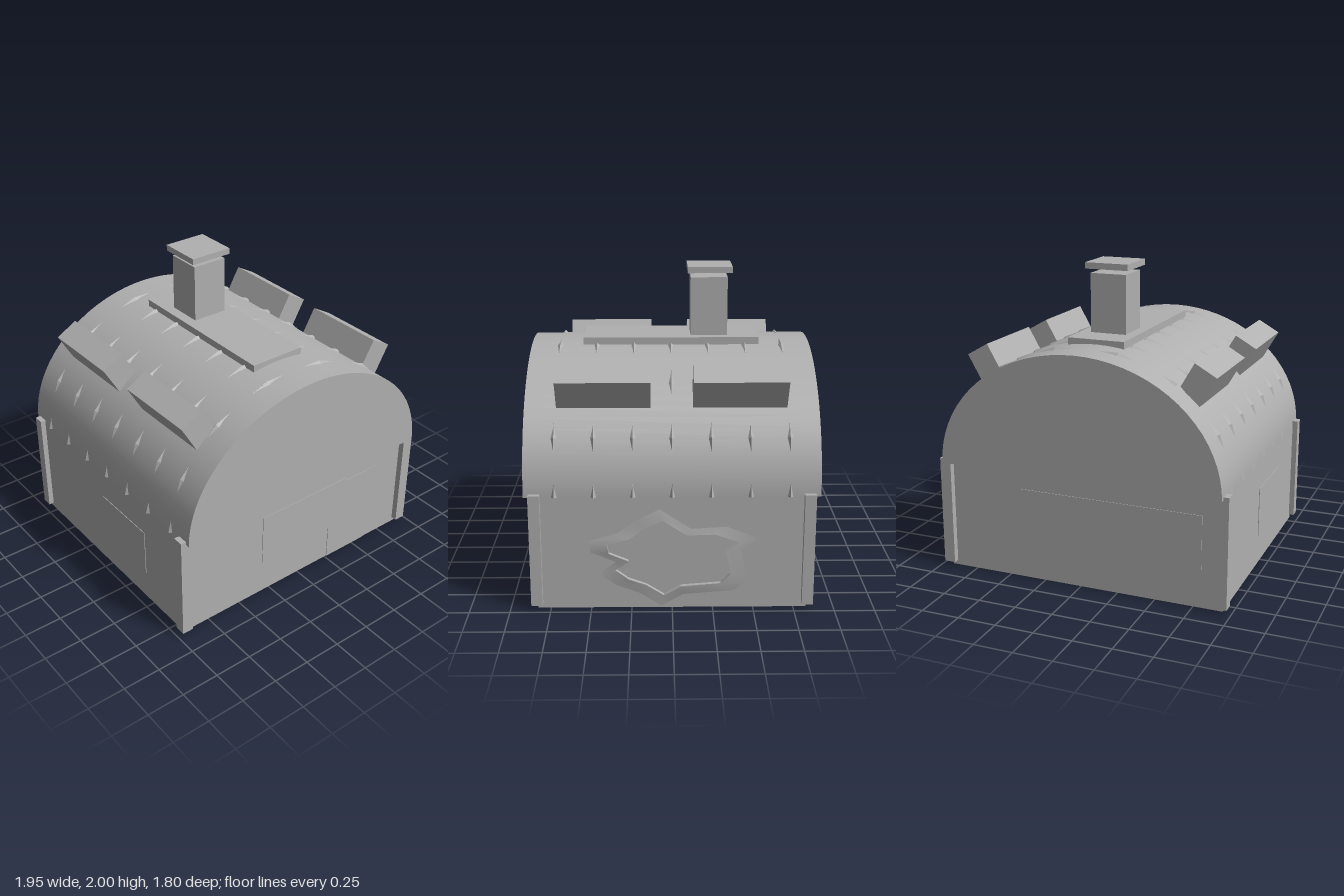
import * as THREE from 'three';

const EAVE = 0.73, HALF_W = 0.94, RISE = 0.79;

export function createModel() {
  const model = new THREE.Group();
  const grey = new THREE.MeshStandardMaterial({ color: 0xb0b0b0, side: THREE.DoubleSide });
  grey.name = 'plainGrey';

  const add = (name, geometry) => {
    const mesh = new THREE.Mesh(geometry, grey);
    mesh.name = name;
    model.add(mesh);
    return mesh;
  };
  // Box given by its lower and upper limits on each axis
  const box = (name, x0, x1, y0, y1, z0, z1) => {
    const mesh = add(name, new THREE.BoxGeometry(x1 - x0, y1 - y0, z1 - z0));
    mesh.position.set((x0 + x1) / 2, (y0 + y1) / 2, (z0 + z1) / 2);
    return mesh;
  };
  const polygon = (pts) => new THREE.Shape(pts.map(([x, y]) => new THREE.Vector2(x, y)));

  // Main block; its right face lies behind the broken side wall
  box('body', -0.94, 0.91, 0, EAVE, -0.83, 0.83);

  // Corner posts
  for (const sx of [-1, 1]) for (const sz of [-1, 1]) {
    const post = box('cornerPost', 0.9, 0.975, 0.03, 0.75, 0.8, 0.87);
    post.position.x *= sx;
    post.position.z *= sz;
  }

  // Side wall with a ragged hole, drawn as (-z, y)
  const hole = [
    [-0.4, 0.42], [-0.26, 0.46], [-0.18, 0.52], [-0.06, 0.58], [0.03, 0.52], [0.09, 0.48],
    [0.26, 0.49], [0.42, 0.43], [0.33, 0.37], [0.36, 0.22], [0.3, 0.16], [0.05, 0.14],
    [-0.05, 0.08], [-0.16, 0.15], [-0.27, 0.19], [-0.35, 0.25], [-0.27, 0.31], [-0.39, 0.36],
  ];
  const wall = polygon([[-0.83, 0], [0.83, 0], [0.83, EAVE], [-0.83, EAVE]]);
  wall.holes.push(polygon(hole));
  const wallGeo = new THREE.ExtrudeGeometry(wall, { depth: 0.026, bevelEnabled: false });
  wallGeo.rotateY(Math.PI / 2);
  add('brokenSideWall', wallGeo).position.x = 0.909;

  // Bent rim around the hole: rings fading from raised edge to flat wall
  const n = hole.length, rimPos = [], rimIdx = [];
  [[1, 1], [1.1, 0.6], [1.28, 0]].forEach(([s, lift], r) => {
    hole.forEach(([u, y], i) => {
      const bend = 0.009 + 0.007 * Math.sin(i * 2.4);
      rimPos.push(0.9355 + bend * lift, 0.33 + (y - 0.33) * s, -u * s);
      if (r === 2) return;
      const a = r * n + i, b = r * n + (i + 1) % n;
      rimIdx.push(a, b, a + n, a + n, b, b + n);
    });
  });
  const rimGeo = new THREE.BufferGeometry();
  rimGeo.setAttribute('position', new THREE.Float32BufferAttribute(rimPos, 3));
  rimGeo.setIndex(rimIdx);
  rimGeo.computeVertexNormals();
  add('bentHoleRim', rimGeo);

  // Thin panels: doorway and window in front, windows at the back and left-hand side
  const doorway = polygon([
    [-0.31, 0.24], [0.265, 0.24], [0.265, 0], [0.6, 0], [0.6, 0.58],
    [0.41, 0.58], [0.41, 0.6], [-0.31, 0.6],
  ]);
  add('frontDoorAndWindow', new THREE.ExtrudeGeometry(doorway, { depth: 0.005, bevelEnabled: false }))
    .position.z = 0.829;
  box('doorSidePanel', 0.6, 0.7, 0.05, 0.58, 0.829, 0.832);
  box('backWindow', -0.8, 0.41, 0.25, 0.6, -0.834, -0.829);
  box('sideWindow', -0.944, -0.939, 0.2, 0.53, -0.07, 0.42);

  // Arched roof, open underneath
  const roofGeo = new THREE.CylinderGeometry(1, 1, 1.8, 36, 1, true, Math.PI / 2, Math.PI);
  roofGeo.rotateX(Math.PI / 2);
  roofGeo.scale(HALF_W, RISE, 1);
  add('archedRoof', roofGeo).position.y = EAVE;

  // Roof gables
  for (const s of [-1, 1]) {
    const gableGeo = new THREE.CircleGeometry(1, 36, 0, Math.PI);
    gableGeo.scale(HALF_W, RISE, 1);
    if (s < 0) gableGeo.rotateY(Math.PI);
    add('roofGable', gableGeo).position.set(0, EAVE, 0.9 * s);
  }

  // Faceted ribs whose corners poke out through the roof
  const ribPos = [], ribIdx = [], SEG = 7, R = 0.02;
  for (let k = 0; k <= SEG; k++) {
    const t = (k / SEG) * Math.PI, c = Math.cos(t), s = Math.sin(t);
    const normal = new THREE.Vector2(c / HALF_W, s / RISE).normalize();
    for (let j = 0; j < 4; j++) {
      const out = R * Math.cos(j * Math.PI / 2) - 0.003;
      ribPos.push(HALF_W * c + normal.x * out, EAVE + RISE * s + normal.y * out, R * Math.sin(j * Math.PI / 2));
      if (k === SEG) continue;
      const a = k * 4 + j, b = k * 4 + (j + 1) % 4;
      ribIdx.push(a, a + 4, b, b, a + 4, b + 4);
    }
  }
  const ribBase = new THREE.BufferGeometry();
  ribBase.setAttribute('position', new THREE.Float32BufferAttribute(ribPos, 3));
  ribBase.setIndex(ribIdx);
  const ribGeo = ribBase.toNonIndexed();
  ribGeo.computeVertexNormals();
  for (let i = -3; i <= 3; i++) add('roofRib', ribGeo).position.z = i * 0.238;

  // Tilted roof boxes, two on each slope
  for (const sx of [-1, 1]) for (const sz of [-1, 1]) {
    const vent = add('roofVent', new THREE.BoxGeometry(0.161, 0.215, 0.575));
    vent.position.set(0.71 * sx, 1.36, 0.417 * sz);
    vent.rotation.z = -0.52 * sx;
  }

  // Ridge plate, chimney and its raised cap
  box('ridgePlate', -0.19, 0.19, 1.49, 1.55, -0.57, 0.565);
  box('chimney', -0.12, 0.12, 1.5, 1.93, -0.37, -0.13);
  box('chimneyCap', -0.145, 0.145, 1.96, 2, -0.4, -0.11);

  return model;
}
